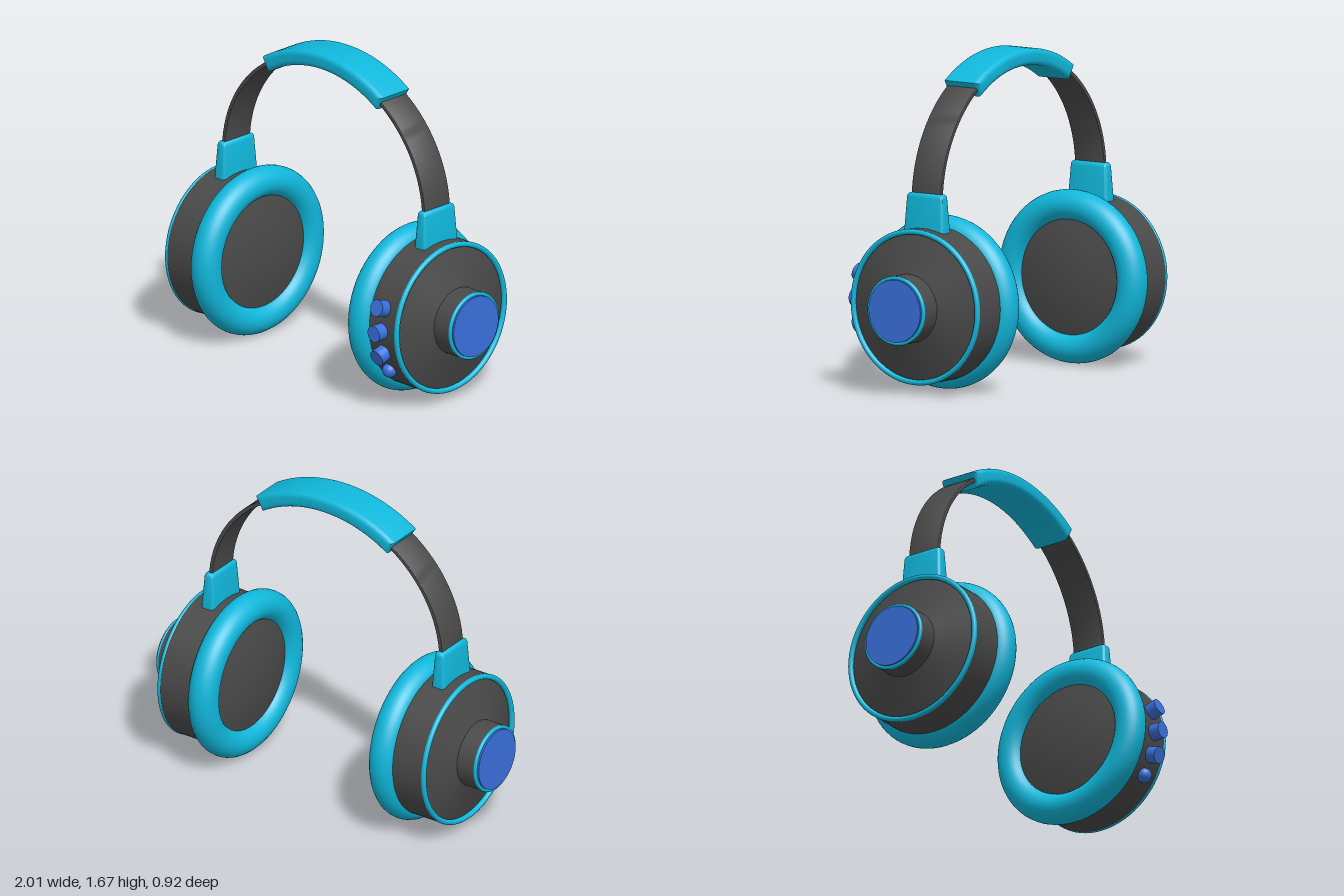
import * as THREE from 'three';
import { toCreasedNormals } from 'three/addons/utils/BufferGeometryUtils.js';
import { RoundedBoxGeometry } from 'three/addons/geometries/RoundedBoxGeometry.js';

const CUP_Y = 0.443;

function material(name, color) {
  const m = new THREE.MeshStandardMaterial({ color });
  m.name = name;
  return m;
}

// Arched strip drawn in the front plane, extruded in depth with rounded edges
function archStrip(xEnd, thickness, depth, bevel) {
  const a = 0.715, b = 0.67, cy = 0.96, steps = 48;
  const tEnd = Math.asin(xEnd / a), half = thickness / 2 - bevel;
  const outer = [], inner = [];
  for (let i = 0; i <= steps; i++) {
    const t = tEnd * (1 - 2 * i / steps);
    const x = a * Math.sin(t), y = cy + b * Math.cos(t);
    const n = new THREE.Vector2(Math.sin(t) / a, Math.cos(t) / b).normalize();
    outer.push(new THREE.Vector2(x + n.x * half, y + n.y * half));
    inner.unshift(new THREE.Vector2(x - n.x * half, y - n.y * half));
  }
  const core = depth - 2 * bevel;
  const geo = new THREE.ExtrudeGeometry(new THREE.Shape([...outer, ...inner]), {
    depth: core, bevelEnabled: true, bevelSize: bevel, bevelThickness: bevel, bevelSegments: 5,
  });
  geo.translate(0, 0, -core / 2);
  return toCreasedNormals(geo, 0.6);
}

// Ring around the local y axis
function ring(radius, tube, y, sides = 16) {
  return new THREE.TorusGeometry(radius, tube, sides, 72).rotateX(Math.PI / 2).translate(0, y, 0);
}

export function createModel() {
  const teal = material('teal', 0x10b8dc);
  const dark = material('darkGrey', 0x4a4a4a);
  const blue = material('blue', 0x3a70dc);

  const model = new THREE.Group();
  model.name = 'headphones';
  const add = (parent, name, geo, mat) => {
    const mesh = new THREE.Mesh(geo, mat);
    mesh.name = name;
    parent.add(mesh);
    return mesh;
  };

  // Headband and its padded top
  add(model, 'headband', archStrip(0.7149, 0.022, 0.18, 0.003), dark);
  add(model, 'headbandPad', archStrip(0.385, 0.085, 0.22, 0.026), teal);

  // Cup housing: speaker dome, drum, sloped outer face and hub
  const profile = [
    [0, 0.487], [0.1, 0.491], [0.2, 0.503], [0.31, 0.53], [0.36, 0.6], [0.395, 0.62],
    [0.395, 0.81], [0.375, 0.805], [0.175, 0.875], [0.175, 0.985], [0, 0.985],
  ].map(([r, y]) => new THREE.Vector2(r, y));
  const housing = toCreasedNormals(new THREE.LatheGeometry(profile, 72), 0.5);

  // Tapered joint between the cup and the headband
  const joint = new RoundedBoxGeometry(0.084, 0.22, 0.25, 5, 0.022);
  const p = joint.attributes.position;
  for (let i = 0; i < p.count; i++) {
    const t = p.getY(i) / 0.22 + 0.5;
    p.setX(i, p.getX(i) * (1 - 0.35 * t));
    p.setZ(i, p.getZ(i) * (1 - 0.12 * t));
  }
  const jointGeo = toCreasedNormals(joint, 0.7);

  for (const side of [1, -1]) {
    const label = side > 0 ? 'left' : 'right';
    const cup = new THREE.Group();
    cup.name = label + 'Cup';
    cup.position.y = CUP_Y;
    cup.rotation.z = -side * Math.PI / 2; // local y points outward
    add(cup, 'housing', housing, dark);
    add(cup, 'earCushion', ring(0.365, 0.078, 0.561, 28), teal);
    add(cup, 'outerRim', ring(0.384, 0.014, 0.817), teal);
    add(cup, 'hubRing', ring(0.167, 0.01, 0.983), teal);
    add(cup, 'hubCap', new THREE.CylinderGeometry(0.16, 0.16, 0.02, 64).translate(0, 0.99, 0), blue);
    model.add(cup);

    add(model, label + 'Joint', jointGeo, teal).position.set(side * 0.715, 0.903, 0);
  }

  // Buttons along the front of the left cup
  const buttons = new THREE.Group();
  buttons.name = 'buttons';
  buttons.position.set(0.72, CUP_Y + 0.004, 0);
  for (const degrees of [17.5, 0, -17.5]) {
    const pivot = new THREE.Group();
    pivot.name = 'buttonMount';
    pivot.rotation.x = -THREE.MathUtils.degToRad(degrees);
    const geo = new THREE.CylinderGeometry(0.043, 0.043, 0.08, 32).rotateX(Math.PI / 2);
    add(pivot, 'button', geo, blue).position.z = 0.412;
    buttons.add(pivot);
  }
  const low = THREE.MathUtils.degToRad(-33.5);
  add(buttons, 'roundButton', new THREE.SphereGeometry(0.038, 28, 20), blue)
    .position.set(0, 0.405 * Math.sin(low), 0.405 * Math.cos(low));
  model.add(buttons);

  // Slight turn of the whole set
  model.rotation.y = -0.018;
  model.position.z = -0.007;
  const root = new THREE.Group();
  root.name = 'headphoneSet';
  root.add(model);
  return root;
}
